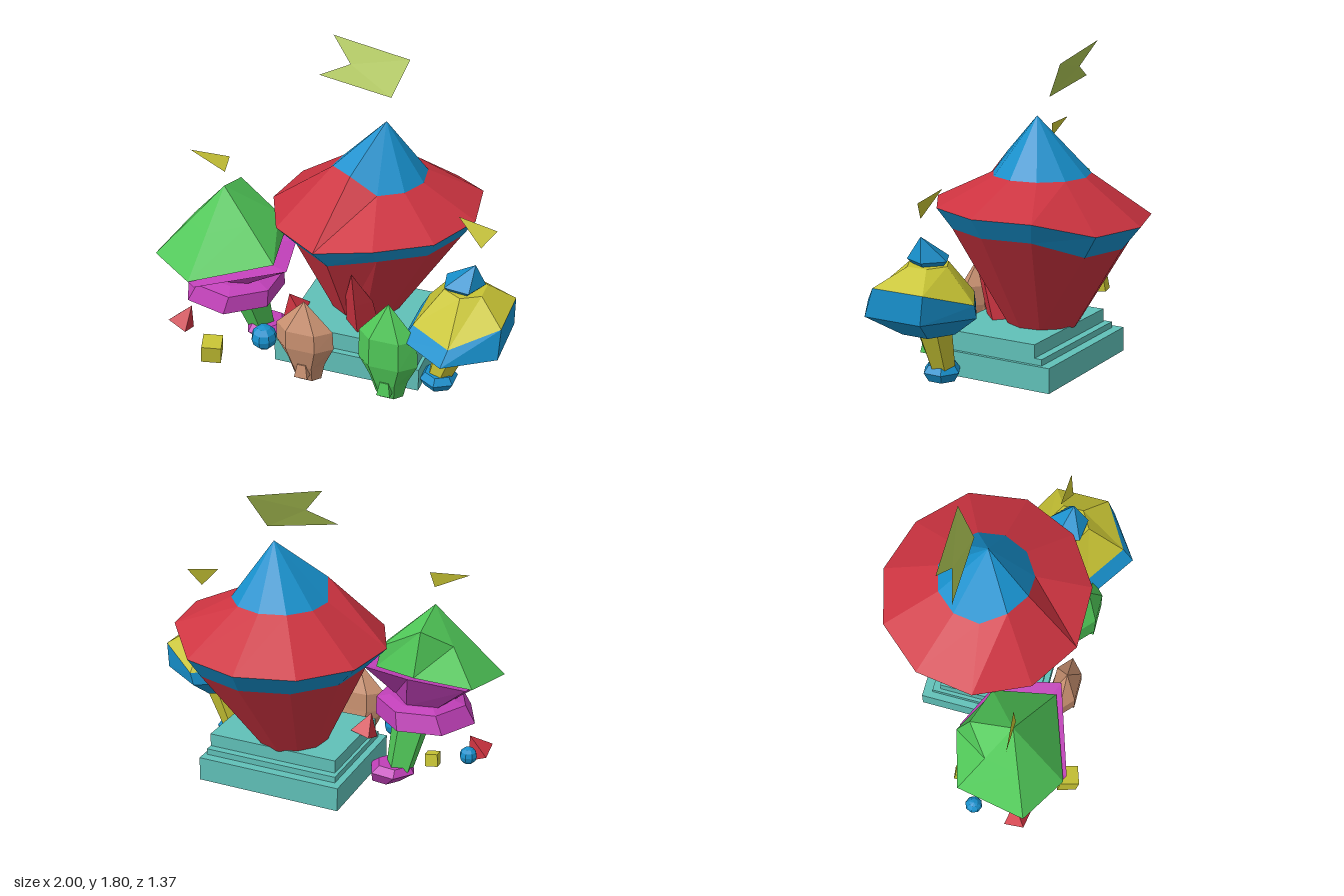
import * as THREE from 'three';

const RED = 0xcc3340, BLUE = 0x1790cc, GREEN = 0x50c858, TEAL = 0x60c0b8;
const PINK = 0xc040b8, BROWN = 0xc89070, YELLOW = 0xc8c434, LIME = 0xb0c856;

function mat(color, side = THREE.FrontSide) {
  return new THREE.MeshStandardMaterial({ color, flatShading: true, side });
}

// Horizontal ring of n points; y may be a number or a function of the angle
function ring(n, x, y, z, r, phase = 0, rz = r) {
  return Array.from({ length: n }, (_, i) => {
    const a = phase + (i / n) * Math.PI * 2;
    return [x + r * Math.sin(a), typeof y === 'function' ? y(a) : y, z + rz * Math.cos(a)];
  });
}

// Faceted skin through rings listed from bottom to top, closed at both ends
function loft(name, color, rings) {
  const pos = [];
  const tri = (a, b, c) => pos.push(...a, ...b, ...c);
  const n = rings[0].length;
  const middle = (r) => [0, 1, 2].map((k) => r.reduce((s, p) => s + p[k], 0) / n);
  const bottom = rings[0], top = rings[rings.length - 1];
  const mb = middle(bottom), mt = middle(top);
  for (let i = 0; i < n; i++) {
    const j = (i + 1) % n;
    for (let k = 0; k + 1 < rings.length; k++) {
      const lo = rings[k], hi = rings[k + 1];
      tri(lo[i], lo[j], hi[j]);
      tri(lo[i], hi[j], hi[i]);
    }
    tri(mb, bottom[j], bottom[i]);
    tri(mt, top[i], top[j]);
  }
  const g = new THREE.BufferGeometry();
  g.setAttribute('position', new THREE.Float32BufferAttribute(pos, 3));
  g.computeVertexNormals();
  const m = new THREE.Mesh(g, mat(color));
  m.name = name;
  return m;
}

// Loft from sections [x, y, z, r] or [x, y, z, rx, rz]
const stack = (name, color, n, phase, sections) =>
  loft(name, color, sections.map(([x, y, z, r, rz]) => ring(n, x, y, z, r, phase, rz)));

// Thin flat piece fanned from its first corner
function pennant(name, color, pts) {
  const pos = [];
  for (let i = 1; i + 1 < pts.length; i++) pos.push(...pts[0], ...pts[i], ...pts[i + 1]);
  const g = new THREE.BufferGeometry();
  g.setAttribute('position', new THREE.Float32BufferAttribute(pos, 3));
  g.computeVertexNormals();
  const m = new THREE.Mesh(g, mat(color, THREE.DoubleSide));
  m.name = name;
  return m;
}

function solid(name, color, geo, p, rot = [0, 0, 0]) {
  const m = new THREE.Mesh(geo, mat(color));
  m.name = name;
  m.position.set(...p);
  m.rotation.set(...rot);
  return m;
}

function group(name, ...parts) {
  const g = new THREE.Group();
  g.name = name;
  g.add(...parts);
  return g;
}

// Eleven-sided tent with an uneven rim and cap
function tent() {
  const n = 11, cx = 0.13, cz = -0.085;
  const near = (a, deg, width) => Math.cos(a - (deg * Math.PI) / 180) > Math.cos((width * Math.PI) / 180);
  const uneven = (lo, hi, deg, width) => (a) => (near(a, deg, width) ? hi : lo);
  const foot = ring(n, 0.08, 0.24, -0.06, 0.2, Math.PI);
  const under = ring(n, cx + 0.02, uneven(0.74, 0.83, 65, 60), cz, 0.5, Math.PI);
  const rim = ring(n, cx, uneven(0.865, 0.945, 65, 60), cz, 0.597, Math.PI);
  const neck = ring(n, cx + 0.01, uneven(1.1, 1.19, -33, 25), cz, 0.272, Math.PI);
  const tip = ring(n, 0.18, 1.42, -0.08, 0, Math.PI);
  return group('tent',
    loft('tentWall', RED, [foot, under]),
    loft('tentBand', BLUE, [under, rim]),
    loft('tentRoof', RED, [rim, neck]),
    loft('tentCap', BLUE, [neck, tip]));
}

// Stepped plinth
function plinth() {
  const slabs = [
    [0.1, 0.075, 0.0, 0.86, 0.14, 0.71],
    [0.11, 0.16, 0.01, 0.8, 0.04, 0.62],
    [0.12, 0.215, 0.035, 0.78, 0.08, 0.58],
  ];
  return group('plinth', ...slabs.map(([x, y, z, w, h, d]) =>
    solid('plinthStep', TEAL, new THREE.BoxGeometry(w, h, d), [x, y, z])));
}

// Flattened faceted figure with a pointed head and a small square snout
function figure(name, color, x, z, h) {
  const snout = new THREE.CylinderGeometry(0.035, 0.055, 0.08, 4, 1, false, Math.PI / 4);
  return group(name,
    stack(name + 'Body', color, 6, Math.PI / 6, [
      [x, 0, z - 0.04, 0.08, 0.05], [x, 0.12, z - 0.02, 0.11, 0.08], [x, 0.25, z, 0.17, 0.09],
      [x, h * 0.68, z, 0.165, 0.085], [x, h, z, 0, 0]]),
    solid(name + 'Snout', color, snout, [x, 0.1, z + 0.035]));
}

// Tall mushroom with a six-sided cap that bulges into a shoulder at the back
function pointedMushroom() {
  const rim = [[-0.73, 0.6, 0.6], [-0.285, 0.71, 0.44], [-0.36, 0.7, 0.1],
    [-0.635, 0.74, -0.04], [-0.94, 0.69, 0.05], [-1, 0.635, 0.44]];
  const apex = [-0.632, 1.055, 0.28];
  const shoulder = rim.map((p) => p.map((v, k) => v + (apex[k] - v) * 0.5));
  shoulder[2] = [-0.39, 0.83, 0.1];
  shoulder[3] = [-0.638, 0.98, 0.04];
  const gillRim = rim.map(([x, y, z]) => [x + (x > -0.5 ? 0.08 : 0.04), y - 0.02, z + 0.01]);
  const gillFoot = ring(6, -0.6, 0.5, 0.25, 0.17, -0.3);
  return group('pointedMushroom',
    loft('mushroomCap', GREEN, [rim, shoulder, rim.map(() => apex)]),
    loft('mushroomGills', PINK, [gillFoot, gillRim]),
    stack('mushroomSkirt', PINK, 7, 0.2, [
      [-0.61, 0.39, 0.26, 0.29], [-0.58, 0.49, 0.26, 0.26], [-0.59, 0.51, 0.25, 0.19]]),
    stack('mushroomStem', GREEN, 5, 0.3, [[-0.5, 0.06, 0.13, 0.08], [-0.55, 0.42, 0.22, 0.125]]),
    stack('mushroomFoot', PINK, 6, 0.4, [
      [-0.42, 0, 0.13, 0.09], [-0.46, 0.07, 0.13, 0.14], [-0.47, 0.11, 0.13, 0.1]]));
}

// Flat mushroom with a deep band, higher on one side, and a small peak
function bandedMushroom() {
  const hem = ring(6, 0.735, 0.425, 0.31, 0.306, 0, 0.35);
  const edge = ring(6, 0.755, (a) => (Math.sin(a) > 0.5 ? 0.585 : 0.5), 0.275, 0.28, 0, 0.315);
  return group('bandedMushroom',
    loft('mushroomBand', BLUE, [ring(6, 0.715, 0.31, 0.27, 0.16), hem, edge]),
    loft('mushroomTop', YELLOW, [edge, ring(6, 0.75, 0.685, 0.25, 0.12)]),
    stack('mushroomPeak', BLUE, 5, 0.5, [
      [0.73, 0.66, 0.25, 0.07], [0.735, 0.71, 0.25, 0.12], [0.8, 0.84, 0.26, 0]]),
    stack('mushroomStem', YELLOW, 6, 0.2, [[0.62, 0.06, 0.25, 0.07], [0.71, 0.34, 0.25, 0.105]]),
    stack('mushroomFoot', BLUE, 6, 0, [
      [0.62, 0.01, 0.26, 0.08], [0.62, 0.06, 0.26, 0.11], [0.62, 0.1, 0.26, 0.08]]));
}

export function createModel() {
  const model = group('tentScene', plinth(), tent(),
    figure('brownFigure', BROWN, -0.1, 0.465, 0.53),
    figure('greenFigure', GREEN, 0.385, 0.465, 0.625),
    pointedMushroom(), bandedMushroom());

  // Door flap on the tent front
  model.add(stack('doorFlap', RED, 4, 0, [
    [0.14, 0.24, 0.17, 0.1], [0.14, 0.46, 0.24, 0.08], [0.14, 0.7, 0.37, 0]]));

  // Floating pennants
  model.add(
    pennant('mainPennant', LIME, [[-0.07, 1.665, -0.2], [-0.235, 1.595, -0.155],
      [0.18, 1.525, -0.155], [0.25, 1.715, -0.26], [-0.185, 1.8, -0.25]]),
    pennant('rightPennant', YELLOW, [[-0.82, 1.25, 0.29], [-0.62, 1.15, 0.29], [-0.595, 1.24, 0.27]]),
    pennant('leftPennant', YELLOW, [[0.68, 1.08, 0.2], [0.82, 0.94, 0.245], [0.895, 1.04, 0.21]]));

  // Scattered balls, cubes and pyramids
  const balls = [[-0.365, 0.2, 0.42, 0.075], [-0.91, 0.25, 0.13, 0.05]];
  for (const [x, y, z, r] of balls)
    model.add(solid('ball', BLUE, new THREE.SphereGeometry(r, 8, 6), [x, y, z]));
  const cubes = [[-0.745, 0.25, 0.01, 0.07, 0.1], [-0.6, 0.19, 0.61, 0.11, 0.3]];
  for (const [x, y, z, s, t] of cubes)
    model.add(solid('cube', YELLOW, new THREE.BoxGeometry(s, s, s), [x, y, z], [0.15, t, -0.12]));
  const pyramids = [[-0.87, 0.2, 0.37, -0.6], [-0.285, 0.3, 0.17, 0.3]];
  for (const [x, y, z, t] of pyramids)
    model.add(solid('pyramid', RED, new THREE.ConeGeometry(0.085, 0.13, 4), [x, y, z], [0.1, 0.7, t]));

  return model;
}
